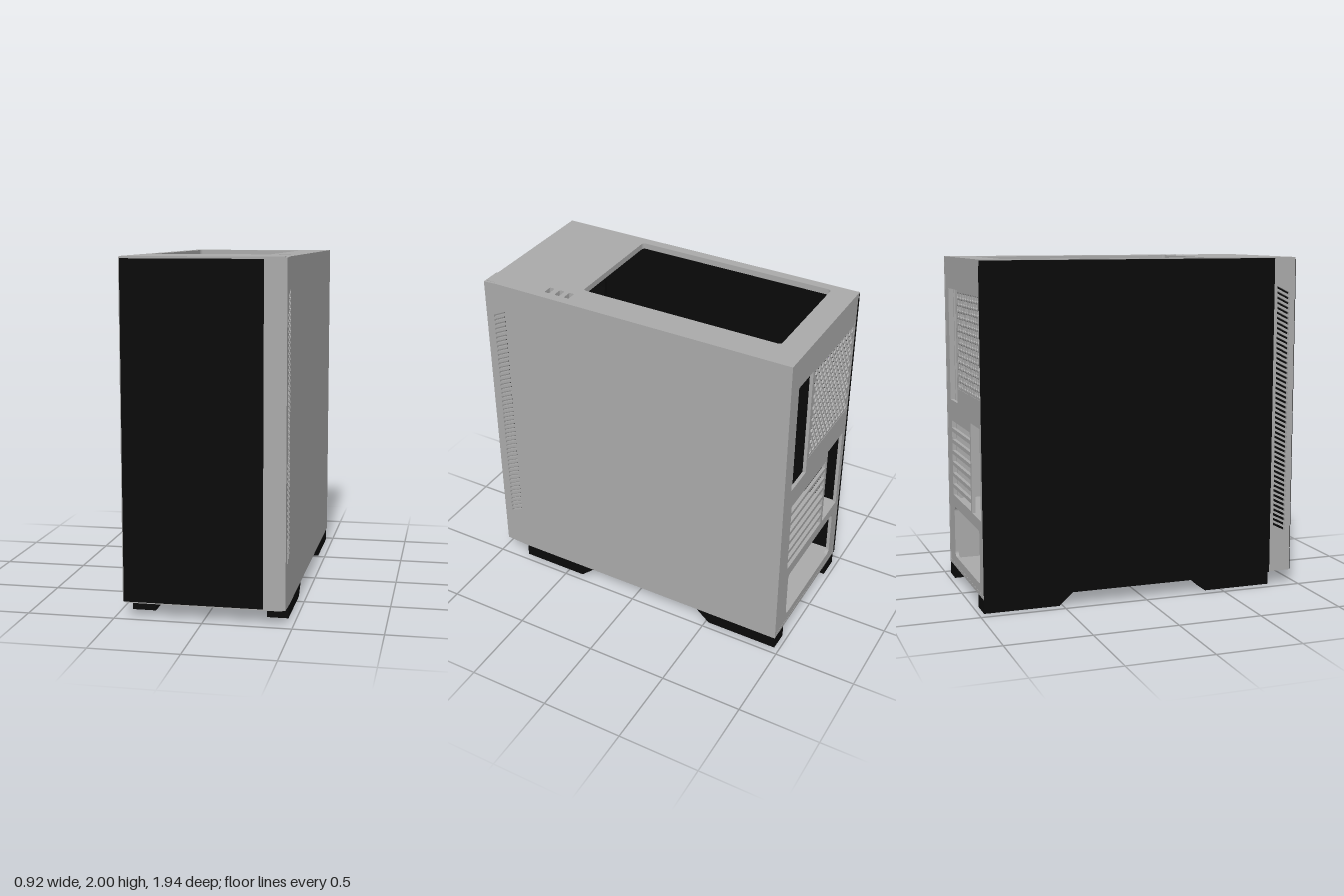
import * as THREE from 'three';

const mat = (name, color) => {
  const m = new THREE.MeshStandardMaterial({ color });
  m.name = name;
  return m;
};

export function createModel() {
  const grey = mat('case grey', 0xaaaaaa);
  const black = mat('gloss black', 0x0a0a0a);
  const purple = mat('fan purple', 0x7b45c0);
  const model = new THREE.Group();
  model.name = 'computerCase';

  const add = (name, geo, material, parent = model) => {
    const mesh = new THREE.Mesh(geo, material);
    mesh.name = name;
    parent.add(mesh);
    return mesh;
  };
  const box = (name, x0, x1, y0, y1, z0, z1, material, parent) =>
    add(name, new THREE.BoxGeometry(x1 - x0, y1 - y0, z1 - z0)
      .translate((x0 + x1) / 2, (y0 + y1) / 2, (z0 + z1) / 2), material, parent);

  // Outline helpers: polygon, rounded rectangle, regular polygon
  const poly = pts => new THREE.Shape(pts.map(p => new THREE.Vector2(...p)));
  const rect = (x0, x1, y0, y1, r = 0) => {
    if (!r) return poly([[x0, y0], [x1, y0], [x1, y1], [x0, y1]]);
    const s = new THREE.Shape(), q = Math.PI / 2;
    s.absarc(x1 - r, y0 + r, r, -q, 0);
    s.absarc(x1 - r, y1 - r, r, 0, q);
    s.absarc(x0 + r, y1 - r, r, q, 2 * q);
    s.absarc(x0 + r, y0 + r, r, 2 * q, 3 * q);
    return s;
  };
  const ngon = (x, y, r, n, turn = 0) => poly(Array.from({ length: n }, (_, i) => {
    const a = turn + i / n * Math.PI * 2;
    return [x + r * Math.cos(a), y + r * Math.sin(a)];
  }));
  const extrude = (shape, holes, depth) => {
    shape.holes = holes;
    return new THREE.ExtrudeGeometry(shape, { depth, bevelEnabled: false, curveSegments: 4 });
  };
  // Plates facing z (x, y), facing x (-z, y) and facing y (x, -z)
  const plateZ = (name, shape, holes, z0, z1, m, parent) =>
    add(name, extrude(shape, holes, z1 - z0).translate(0, 0, z0), m, parent);
  const plateX = (name, shape, holes, x0, x1, m) =>
    add(name, extrude(shape, holes, x1 - x0).rotateY(Math.PI / 2).translate(x0, 0, 0), m);
  const plateY = (name, shape, holes, y0, y1, m) =>
    add(name, extrude(shape, holes, y1 - y0).rotateX(-Math.PI / 2).translate(0, y0, 0), m);

  // Slanted intake slots near the front edge of each side
  const sideVents = () => Array.from({ length: 49 }, (_, i) => {
    const y = 0.335 + i * 0.03;
    return poly([[-0.92, y], [-0.84, y + 0.04], [-0.84, y + 0.055], [-0.92, y + 0.015]]);
  });

  // Outer panels
  plateX('solidSidePanel',
    poly([[-0.97, 0.09], [-0.82, 0.08], [0.97, 0.08], [0.97, 2], [-0.89, 2], [-0.97, 1.995]]),
    sideVents(), 0.44, 0.46, grey);
  plateX('frontFrameSide', rect(-0.955, -0.82, 0.085, 1.995), sideVents(), -0.46, -0.44, grey);
  box('glassSidePanel', -0.46, -0.445, 0.08, 1.995, -0.97, 0.82, black);
  box('frontPanel', -0.453, 0.335, 0.088, 1.988, 0.945, 0.962, black);
  box('frontStrip', 0.335, 0.44, 0.088, 1.996, 0.94, 0.97, grey);
  plateY('bottomPanel', rect(-0.445, 0.44, -0.955, 0.969), [], 0.08, 0.1, grey);

  // Top panel with large vent opening and three port holes
  const ports = [0.445, 0.508, 0.575].map(z => rect(0.345, 0.405, -z - 0.016, -z + 0.016, 0.008));
  plateY('topPanel', rect(-0.456, 0.445, -0.957, 0.97),
    [rect(-0.4, 0.28, -0.41, 0.82, 0.02), ...ports], 1.965, 2, grey);
  box('portBacking', 0.33, 0.42, 1.955, 1.965, 0.41, 0.61, grey);

  // Rear panel: port cut-out, fan opening, expansion slots, power supply bay
  const slots = Array.from({ length: 7 }, (_, i) =>
    rect(-0.155, 0.335, 0.535 + i * 0.07, 0.582 + i * 0.07));
  plateZ('rearPanel', rect(-0.445, 0.44, 0.1, 1.965), [
    rect(0.16, 0.36, 1.13, 1.81),
    rect(-0.43, 0.14, 1.22, 1.81),
    rect(-0.4, -0.18, 0.53, 1.06),
    rect(-0.355, 0.31, 0.15, 0.465, 0.03),
    ...slots,
  ], -0.968, -0.948, grey);

  // Staggered hexagonal mesh over the rear fan
  const meshHoles = [];
  for (let row = 0; row < 15; row++) {
    const odd = row % 2;
    for (let col = 0; col < 13 - odd; col++) {
      meshHoles.push(ngon(-0.403 + (col + odd / 2) * 0.043, 1.25 + row * 0.0378, 0.0195, 6, Math.PI / 6));
    }
  }
  plateZ('rearFanMesh', rect(-0.43, 0.14, 1.22, 1.81), meshHoles, -0.966, -0.956, grey);

  // Fan frame shared by the rear and the front fans
  const fan = (name, x, y, z, rotorMat) => {
    const g = new THREE.Group();
    g.name = name;
    const half = 0.26;
    plateZ('fanFrame', rect(-half, half, -half, half, 0.03), [ngon(0, 0, 0.24, 40)], -0.055, 0.055, black, g);
    add('rotor', new THREE.CylinderGeometry(0.225, 0.225, 0.02, 40).rotateX(Math.PI / 2)
      .translate(0, 0, 0.04), rotorMat, g);
    for (let i = 0; i < 4; i++) {
      const strut = box('fanStrut', 0, 0.24, -0.01, 0.01, -0.05, -0.035, black, g);
      strut.rotation.z = Math.PI / 4 + i * Math.PI / 2;
    }
    g.position.set(x, y, z);
    model.add(g);
    return g;
  };
  const rear = fan('rearFan', -0.145, 1.515, -0.89, purple);
  add('rearFanHub', new THREE.CylinderGeometry(0.16, 0.16, 0.03, 32).rotateX(Math.PI / 2)
    .translate(0, 0, -0.01), grey, rear);
  for (let i = 0; i < 3; i++) fan('frontFan', -0.1, 0.62 + i * 0.54, 0.71, black);

  // Front bulkhead carrying the intake fans
  plateZ('frontBulkhead', rect(-0.44, 0.3, 0.1, 1.965), [], 0.77, 0.785, black);

  // Motherboard tray with cable cut-outs
  plateX('motherboardTray', rect(-0.64, 0.948, 0.52, 1.965), [
    rect(0.17, 0.52, 1.87, 1.945),
    rect(-0.09, 0.05, 0.85, 1.69),
    rect(-0.59, -0.44, 0.85, 1.69),
  ], 0.3, 0.312, grey);

  // Power supply shroud with cable slots and a folded edge
  plateY('powerSupplyShroud', rect(-0.43, 0.312, -0.64, 0.948),
    [rect(0.25, 0.295, 0.4, 0.81, 0.02), rect(0.25, 0.295, 0.01, 0.36, 0.02)], 0.5, 0.515, grey);
  box('shroudEdge', -0.43, -0.42, 0.44, 0.5, -0.948, 0.64, grey);

  // Feet with a sloped inner end
  for (const [x0, x1] of [[-0.44, -0.305], [0.335, 0.455]]) {
    plateX('frontFoot', poly([[-0.82, 0], [-0.4, 0], [-0.31, 0.08], [-0.82, 0.08]]), [], x0, x1, black);
    plateX('rearFoot', poly([[0.52, 0], [0.968, 0], [0.968, 0.08], [0.43, 0.08]]), [], x0, x1, black);
  }
  return model;
}
